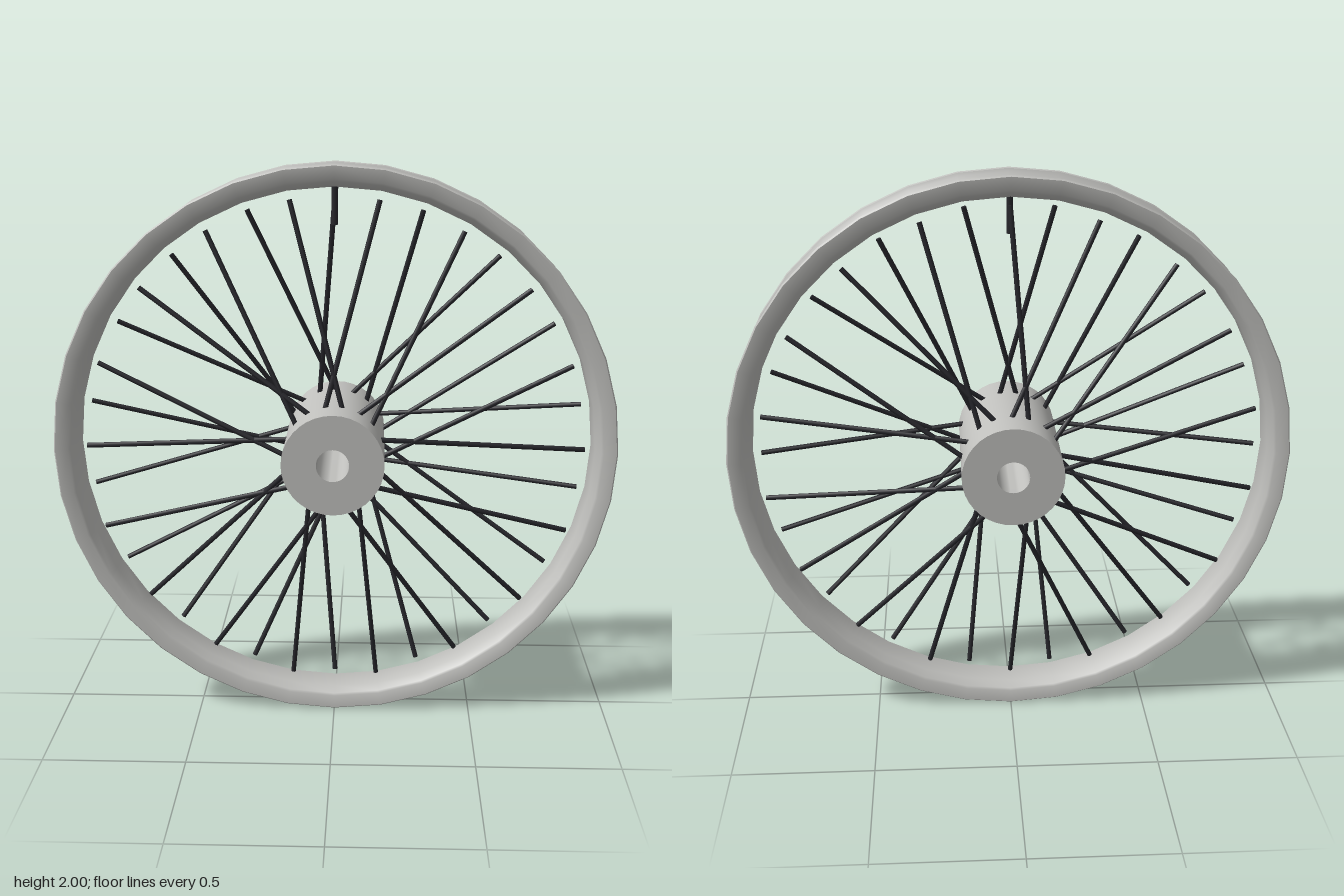
import * as THREE from 'three';
import { toCreasedNormals } from 'three/addons/utils/BufferGeometryUtils.js';

const silver = new THREE.MeshStandardMaterial({ color: 0xc0c0bd });
silver.name = 'silver';
const black = new THREE.MeshStandardMaterial({ color: 0x26262b });
black.name = 'black';

// Closed ring turned around the z axis from [radius, z] points
function ring(name, profile, segments, crease) {
  const points = [...profile, profile[0]].map(([r, z]) => new THREE.Vector2(r, z));
  const geometry = new THREE.LatheGeometry(points, segments).rotateX(Math.PI / 2);
  const mesh = new THREE.Mesh(toCreasedNormals(geometry, crease), silver);
  mesh.name = name;
  return mesh;
}

// Thin rod between two points
function rod(name, a, b, radius, sides) {
  const mesh = new THREE.Mesh(new THREE.CylinderGeometry(radius, radius, a.distanceTo(b), sides), black);
  mesh.position.copy(a).add(b).multiplyScalar(0.5);
  mesh.quaternion.setFromUnitVectors(new THREE.Vector3(0, 1, 0), b.clone().sub(a).normalize());
  mesh.name = name;
  return mesh;
}

const polar = (r, degrees, z) => {
  const a = THREE.MathUtils.degToRad(degrees);
  return new THREE.Vector3(r * Math.cos(a), r * Math.sin(a), z);
};

export function createModel() {
  const group = new THREE.Group();
  group.name = 'wheel';
  const wheel = new THREE.Group();
  wheel.position.y = 1;
  group.add(wheel);

  // Rim: channel with a rounded outer groove and bevelled inner edges
  const half = [[0.946, 0], [0.952, 0.03], [0.966, 0.052], [0.985, 0.067], [0.997, 0.073],
    [1, 0.08], [0.995, 0.086], [0.95, 0.083], [0.942, 0.077], [0.923, 0.05]];
  const mirrored = half.slice(1).reverse().map(([r, z]) => [r, -z]);
  wheel.add(ring('rim', [...half, ...mirrored], 36, 0.7));

  // Hub: cylinder with an axle hole right through
  wheel.add(ring('hub', [[0.178, -0.255], [0.178, 0.255], [0.057, 0.255], [0.057, -0.255]], 36, 0.7));

  // Crossed spokes: alternate hub sides, lean reversed every two spokes
  const spokes = new THREE.Group();
  spokes.name = 'spokes';
  for (let i = 0; i < 36; i++) {
    const side = i % 2 === 0 ? 1 : -1;
    const lean = i % 4 < 2 ? 20 : -20;
    spokes.add(rod('spoke', polar(0.172, i * 10 + lean, side * 0.13), polar(0.89, i * 10, side * 0.025), 0.009, 8));
  }
  wheel.add(spokes);

  // Valve stem at the top of the rim
  wheel.add(rod('valve', new THREE.Vector3(0, 0.79, 0), new THREE.Vector3(0, 0.93, 0), 0.012, 10));
  return group;
}
